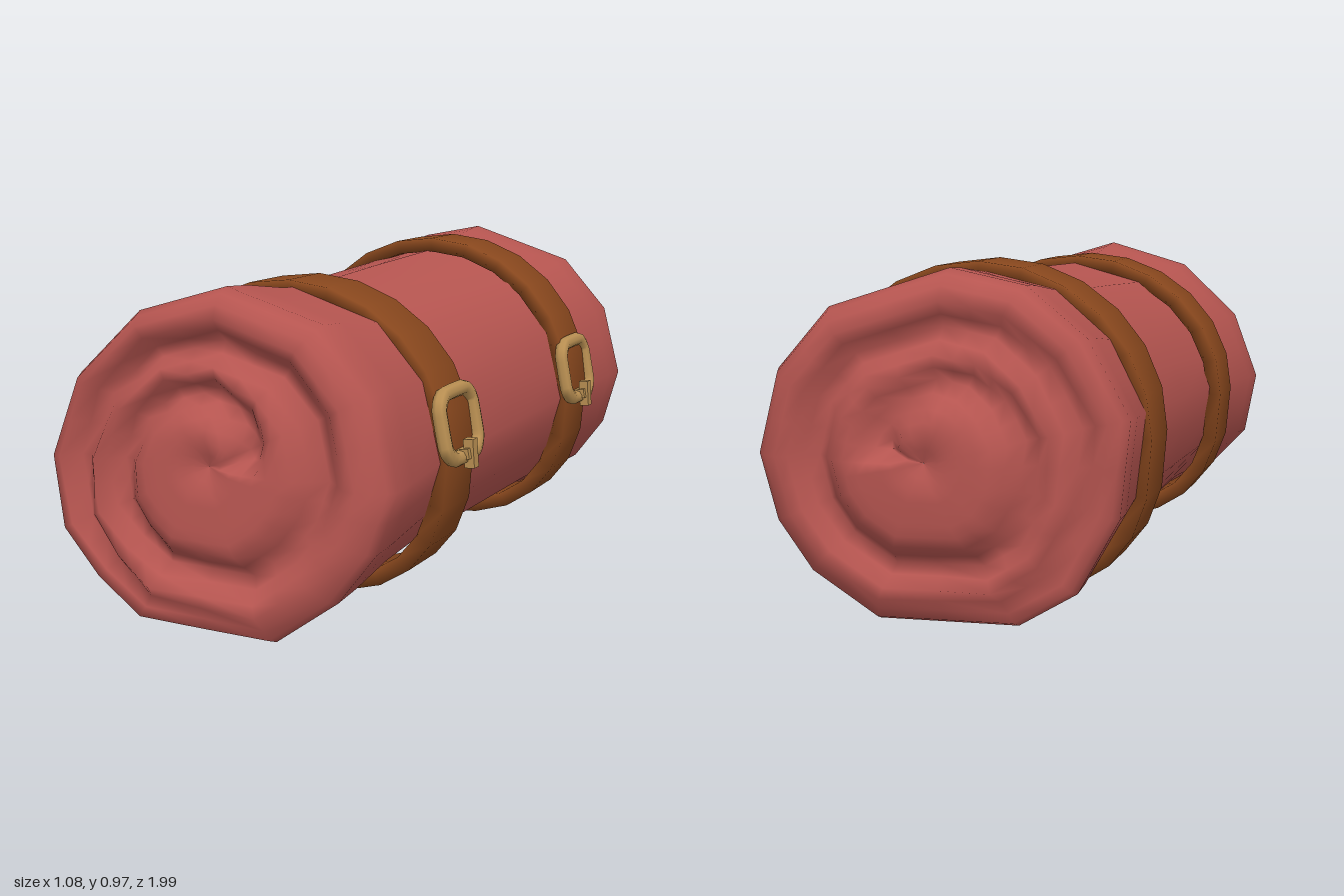
import * as THREE from 'three';

const CX = -0.02, CY = 0.47; // axis of the roll

// Outline of the roll at its front and back ends, counter-clockwise from +x
const FRONT = [[0.49, 0.44], [0.43, 0.69], [0.28, 0.86], [0, 0.945], [-0.27, 0.865], [-0.46, 0.68], [-0.54, 0.45],
  [-0.5, 0.24], [-0.38, 0.11], [-0.24, 0.012], [0.17, 0.002], [0.34, 0.13], [0.44, 0.27]];
const BACK = [[0.49, 0.46], [0.43, 0.69], [0.28, 0.86], [-0.06, 0.97], [-0.26, 0.93], [-0.42, 0.8], [-0.535, 0.595],
  [-0.51, 0.33], [-0.4, 0.12], [-0.24, 0.02], [0.15, 0.01], [0.34, 0.13], [0.44, 0.27]];

// Relative radius of the gap between blanket layers, every quarter turn outward from the core
const SPIRAL = [0.2, 0.42, 0.56, 0.67, 0.65, 0.7, 0.83, 0.98, 1.15];

// Skin a list of equal rings; rings run front to back, points counter-clockwise
function loft(rings, closed = false) {
  const n = rings[0].length, index = [];
  const last = closed ? rings.length : rings.length - 1;
  for (let i = 0; i < last; i++) {
    for (let j = 0; j < n; j++) {
      const a = i * n, b = ((i + 1) % rings.length) * n, k = (j + 1) % n;
      index.push(a + j, b + j, b + k, a + j, b + k, a + k);
    }
  }
  const geo = new THREE.BufferGeometry();
  geo.setAttribute('position', new THREE.Float32BufferAttribute(rings.flat(2), 3));
  geo.setIndex(index);
  geo.computeVertexNormals();
  return geo;
}

// Outline blended from front (t = 0) to back (t = 1), scaled about the axis, each side halved
function outline(t, sx, sy = sx, dx = 0) {
  const pts = FRONT.map((f, i) => f.map((v, c) => THREE.MathUtils.lerp(v, BACK[i][c], t)));
  return pts.flatMap((p, i) => {
    const q = pts[(i + 1) % pts.length];
    return [p, [(p[0] + q[0]) / 2, (p[1] + q[1]) / 2]];
  }).map(([x, y]) => [CX + dx + (x - CX) * sx, CY + (y - CY) * sy]);
}

// The two ends are cut slightly askew
const frontZ = (x, y) => 0.952 - 0.09 * x - 0.08 * (y - CY) - 0.15 * Math.max(0, x) ** 2;
const backZ = (x) => -0.935 - 0.09 * x;

// How deep the spiral gap is at relative radius s and angle a
function grooveAt(s, a) {
  const quarter = ((a / (Math.PI / 2)) + 4) % 4;
  return Math.max(...[0, 4].map((lap) => {
    const i = Math.floor(quarter) + lap;
    const r = THREE.MathUtils.lerp(SPIRAL[i], SPIRAL[i + 1], quarter % 1);
    return Math.exp(-(((s - r) / 0.1) ** 2));
  }));
}

// One ring of an end face, sunk along the spiral
function capRing(s, front) {
  return outline(front ? 0 : 1, Math.max(s, 0.001) * 0.97).map(([x, y]) => {
    const core = THREE.MathUtils.smoothstep(s, 0, 0.16);
    const rim = Math.max(0, (s - 0.86) / 0.14);
    const groove = grooveAt(s, Math.atan2(y - CY, x - CX)) * core * (1 - rim);
    const depth = 0.075 * groove + 0.03 * (1 - core) + 0.035 * rim * rim;
    const z = front ? frontZ(x, y) - depth : backZ(x) - 0.06 * (1 - s * s) + depth;
    return [x, y, z];
  });
}

function rollGeometry() {
  const steps = [0, 0.08, 0.16, 0.23, 0.3, 0.37, 0.44, 0.51, 0.58, 0.65, 0.72, 0.79, 0.86, 0.94, 1];
  // [position along the roll, width, height, sideways shift]
  const body = [[0.93, 1, 1, 0], [0.82, 0.99, 0.98, 0], [0.62, 0.945, 0.915, 0.008], [0.45, 0.925, 0.89, 0.012],
    [0, 0.925, 0.91, 0.012], [-0.45, 0.935, 0.92, 0.01], [-0.65, 0.955, 0.95, 0.005], [-0.84, 0.99, 0.99, 0],
    [-0.93, 1, 1, 0]];
  return loft([
    ...steps.map((s) => capRing(s, true)),
    ...body.map(([k, sx, sy, dx]) => outline((1 - k) / 2, sx, sy, dx).map(([x, y]) =>
      [x, y, k > 0 ? k * frontZ(x, y) : -k * backZ(x)])),
    ...steps.slice().reverse().map((s) => capRing(s, false)),
  ]);
}

// Belt loop with soft shading: round above, squarer below
function strapGeometry(z, cy, ry) {
  const profile = [[-0.045, 0.0875], [0, 0.0875], [0, -0.0875], [-0.045, -0.0875]];
  const power = (v, n) => Math.sign(v) * Math.abs(v) ** (2 / n);
  const rings = profile.map(([d, dz]) => Array.from({ length: 24 }, (_, i) => {
    const a = (i / 24) * Math.PI * 2;
    const n = Math.sin(a) < -0.01 ? 2.6 : 2;
    return [-0.017 + (0.507 + d) * power(Math.cos(a), n), cy + (ry + d) * power(Math.sin(a), n), z + dz];
  }));
  return loft(rings, true);
}

function buckle(material) {
  const group = new THREE.Group();
  const add = (name, geo, x, y) => {
    const m = new THREE.Mesh(geo, material);
    m.name = name;
    m.position.set(x, y, 0);
    group.add(m);
    return m;
  };
  // Rounded rectangular frame
  const corners = [[0.055, 0.102], [0.091, 0.065], [0.091, -0.065], [0.055, -0.102],
    [-0.055, -0.102], [-0.091, -0.065], [-0.091, 0.065], [-0.055, 0.102]];
  const path = new THREE.CatmullRomCurve3(corners.map(([y, z]) => new THREE.Vector3(0, y, z)), true, 'catmullrom', 0.2);
  add('buckleFrame', new THREE.TubeGeometry(path, 40, 0.022, 8, true), 0, 0);
  // Prong hooked over the lower bar
  add('buckleProng', new THREE.BoxGeometry(0.03, 0.082, 0.03), 0.022, -0.087).rotation.z = -0.12;
  add('prongLoop', new THREE.BoxGeometry(0.05, 0.03, 0.06), 0.004, -0.085);
  group.rotation.z = 0.2;
  return group;
}

export function createModel() {
  const cloth = new THREE.MeshStandardMaterial({ color: 0xb65550 });
  cloth.name = 'red cloth';
  const leather = new THREE.MeshStandardMaterial({ color: 0x88471d });
  leather.name = 'brown leather';
  const brass = new THREE.MeshStandardMaterial({ color: 0xb98f52 });
  brass.name = 'brass';

  const model = new THREE.Group();
  model.name = 'bedroll';
  const roll = new THREE.Mesh(rollGeometry(), cloth);
  roll.name = 'rolledBlanket';
  model.add(roll);

  // Front and back straps with their buckles on the left side
  for (const [side, z, cy, ry] of [['front', 0.437, 0.47, 0.456], ['back', -0.478, 0.487, 0.479]]) {
    const strap = new THREE.Mesh(strapGeometry(z, cy, ry), leather);
    strap.name = side + 'Strap';
    const b = buckle(brass);
    b.name = side + 'Buckle';
    b.position.set(0.482, 0.545, z);
    model.add(strap, b);
  }
  return model;
}
